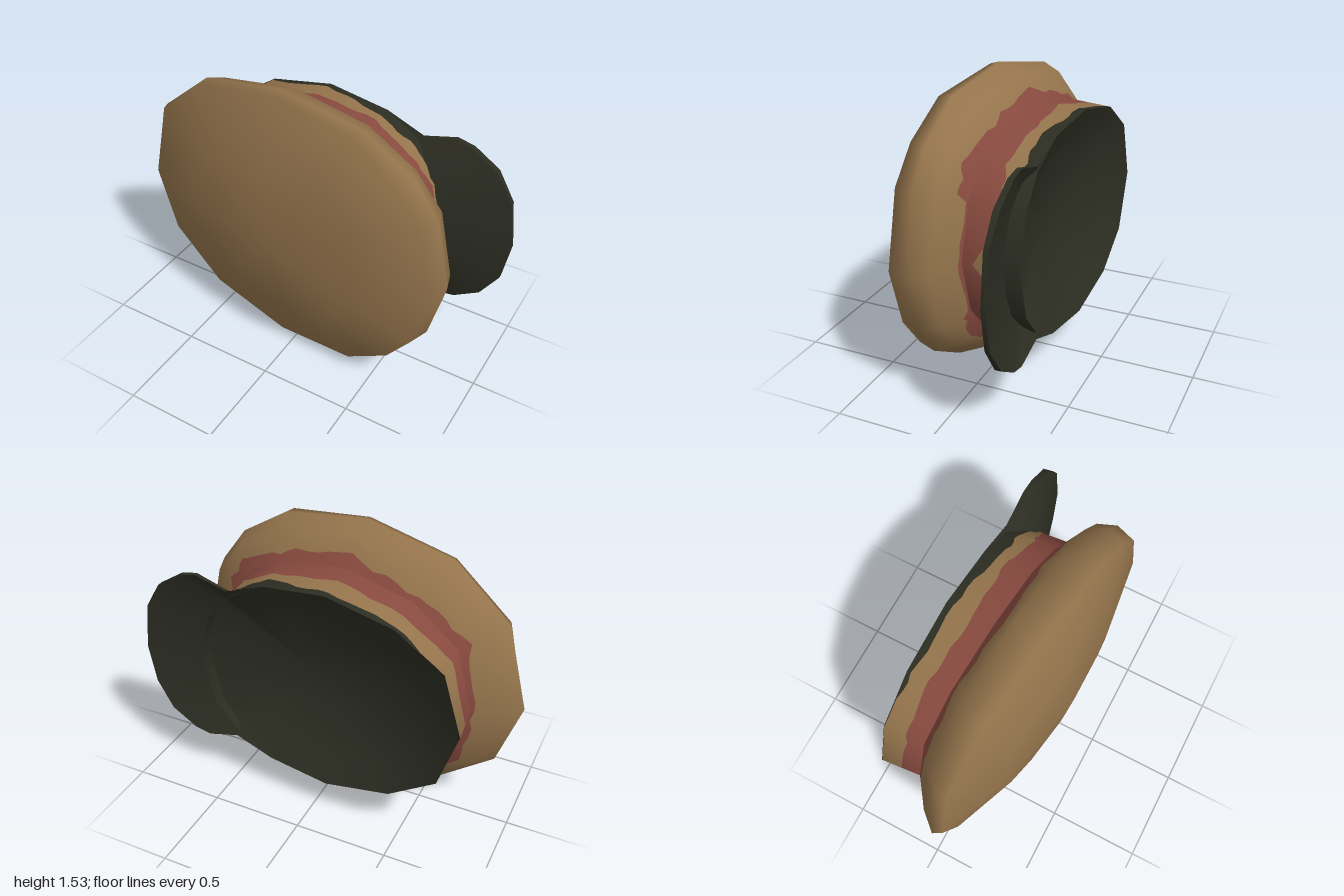
import * as THREE from 'three';

const CY = 0.77; // height of the mirror plane
const STEP = 6; // fine divisions for each ring segment
const mat = (name, color) => new THREE.MeshStandardMaterial({ name, color, side: THREE.DoubleSide });

// Points [x, dy, z] of the upper half, mirrored to the lower half
const mirror = (half, closed) => {
  const low = half.slice(closed ? 1 : 0, -1).reverse().map(([x, d, z]) => [x, -d, z]);
  return [...half, ...low].map(([x, d, z]) => new THREE.Vector3(x, CY + d, z));
};

// Splits every segment of a closed ring
const dense = ring => ring.flatMap((p, i) =>
  Array.from({ length: STEP }, (_, k) => p.clone().lerp(ring[(i + 1) % ring.length], k / STEP)));

// Ring between two rings; f(point, index) is the blend
const between = (a, b, f) => a.map((p, i) => p.clone().lerp(b[i], f(p, i)));

// Smooths normals along each row, and makes them equal where a row is a single point
function smoothRows(geo, rows, step) {
  const normal = geo.attributes.normal, n = rows[0].length;
  const get = i => new THREE.Vector3().fromBufferAttribute(normal, i);
  rows.forEach((row, r) => {
    const mean = new THREE.Vector3();
    row.forEach((_, j) => mean.add(get(r * n + j)));
    const point = row[0].equals(row[1]);
    row.forEach((_, j) => {
      const k = j % step, a = j - k;
      const v = point ? mean.clone() : get(r * n + a).lerp(get(r * n + (a + step) % n), k / step);
      v.normalize();
      normal.setXYZ(r * n + j, v.x, v.y, v.z);
    });
  });
}

// Surface through rows of points, one material for each strip
function loft(name, rows, mats, closed = true, step = 1) {
  const n = rows[0].length, pos = [], index = [];
  const geo = new THREE.BufferGeometry();
  rows.flat().forEach(p => pos.push(p.x, p.y, p.z));
  const list = [...new Set(mats)];
  for (let r = 0; r < rows.length - 1; r++) {
    const start = index.length;
    for (let j = 0; j < (closed ? n : n - 1); j++) {
      const k = (j + 1) % n, a = r * n + j, b = r * n + k;
      index.push(a, b, b + n, a, b + n, a + n);
    }
    geo.addGroup(start, index.length - start, list.indexOf(mats[r % mats.length]));
  }
  geo.setAttribute('position', new THREE.Float32BufferAttribute(pos, 3));
  geo.setIndex(index);
  geo.computeVertexNormals();
  smoothRows(geo, rows, step);
  const mesh = new THREE.Mesh(geo, list);
  mesh.name = name;
  return mesh;
}

const wobble = (i, s) => 0.5 * Math.sin(i * 0.53 + s) + 0.3 * Math.sin(i * 1.5 + s * 2) + 0.2 * Math.sin(i * 2.25 + s * 3);

export function createModel() {
  const tan = mat('tan cloth', 0x94744c);
  const red = mat('red band', 0x884a3f);
  const dark = mat('dark leather', 0x2c2d22);
  const group = new THREE.Group();
  group.name = 'cap';
  const ring = half => dense(mirror(half, true));

  // Crown rings, from the top of the cap to the band
  const mid = ring([[-0.62, -0.02, 0.24], [-0.55, 0.25, 0.245], [-0.36, 0.4, 0.27], [-0.07, 0.45, 0.31],
    [0.2, 0.42, 0.32], [0.34, 0.33, 0.33], [0.4, 0.21, 0.335], [0.42, -0.02, 0.34]]);
  const edge = ring([[-0.975, -0.04, 0.085], [-0.87, 0.402, 0.09], [-0.565, 0.657, 0.125], [-0.09, 0.752, 0.185],
    [0.365, 0.69, 0.24], [0.6, 0.53, 0.265], [0.73, 0.35, 0.28], [0.81, -0.04, 0.29]]);
  const wide = ring([[-1, -0.04, 0.04], [-0.88, 0.405, 0.05], [-0.57, 0.668, 0.085], [-0.09, 0.767, 0.135],
    [0.37, 0.7, 0.165], [0.63, 0.54, 0.17], [0.77, 0.35, 0.17], [0.848, -0.03, 0.17]]);
  const under = ring([[-0.92, -0.02, -0.05], [-0.81, 0.38, -0.045], [-0.53, 0.63, -0.02], [-0.09, 0.72, 0.02],
    [0.33, 0.66, 0.05], [0.59, 0.51, 0.06], [0.74, 0.33, 0.065], [0.82, -0.02, 0.07]]);
  const bandTop = ring([[-0.78, 0, -0.15], [-0.69, 0.33, -0.14], [-0.45, 0.51, -0.115], [-0.09, 0.59, -0.08],
    [0.25, 0.55, -0.055], [0.46, 0.44, -0.035], [0.6, 0.28, -0.025], [0.67, 0, -0.02]]);
  const lower = [[-0.8, 0, -0.36], [-0.7, 0.32, -0.355], [-0.45, 0.49, -0.35], [-0.09, 0.57, -0.335],
    [0.25, 0.53, -0.315]];
  const bandBottom = ring([...lower, [0.45, 0.42, -0.305], [0.58, 0.27, -0.305], [0.65, 0, -0.305]]);

  const centre = mid.map(() => new THREE.Vector3(-0.05, CY - 0.03, 0.355));
  const redTop = between(under, bandTop, (p, i) =>
    p.x > 0.72 ? 0.9 + 0.06 * wobble(i, 1) : 0.64 - 0.12 * p.x + 0.19 * wobble(i, 1));
  group.add(loft('crown', [centre, mid, edge, wide, under, redTop, bandTop],
    [tan, tan, tan, tan, tan, red], true, STEP));

  // Band with ragged colour borders
  const redEnd = between(bandTop, bandBottom, (p, i) =>
    0.47 + 0.07 * wobble(i, 2) - 6 * Math.max(0, p.x - 0.63));
  const darkStart = between(bandTop, bandBottom, (p, i) =>
    p.x < -0.66 ? 0.99 : Math.min(0.98, 0.81 - 0.23 * p.x + 0.07 * wobble(i, 4)));
  group.add(loft('band', [bandTop, redEnd, darkStart, bandBottom], [red, tan, dark], true, STEP));

  // Brim: inner arc on the band, outer arc, and a thin edge
  const outerHalf = [[0.46, 0.45, -0.295], [0.64, 0.5, -0.285], [0.73, 0.48, -0.28], [0.87, 0.39, -0.277],
    [0.965, 0.24, -0.275], [1, -0.02, -0.275]];
  const backHalf = outerHalf.map(([x, d], i) => [x, d, i < 4 ? -0.31 : -0.3]);
  const inner = mirror([[0.43, 0.44, -0.295], [0.5, 0.39, -0.235], [0.56, 0.31, -0.192], [0.61, 0.2, -0.178],
    [0.64, 0.1, -0.175], [0.655, 0, -0.175]], false);
  const outer = mirror(outerHalf, false);
  group.add(loft('brim', [inner, outer], [dark], false));
  group.add(loft('brimEdge', [outer, mirror(backHalf, false)], [dark], false));

  // Hollow underside, one shallow dish below band and brim
  const outline = mirror([...lower, ...backHalf], true);
  const dish = [0, 0.2, 0.4, 0.7, 1].map(t => outline.map(p => new THREE.Vector3(
    THREE.MathUtils.lerp(p.x, 0.05, t), THREE.MathUtils.lerp(p.y, CY, t),
    THREE.MathUtils.lerp(p.z, -0.17, 1 - (1 - t) ** 2))));
  group.add(loft('underside', dish, [dark]));
  return group;
}
